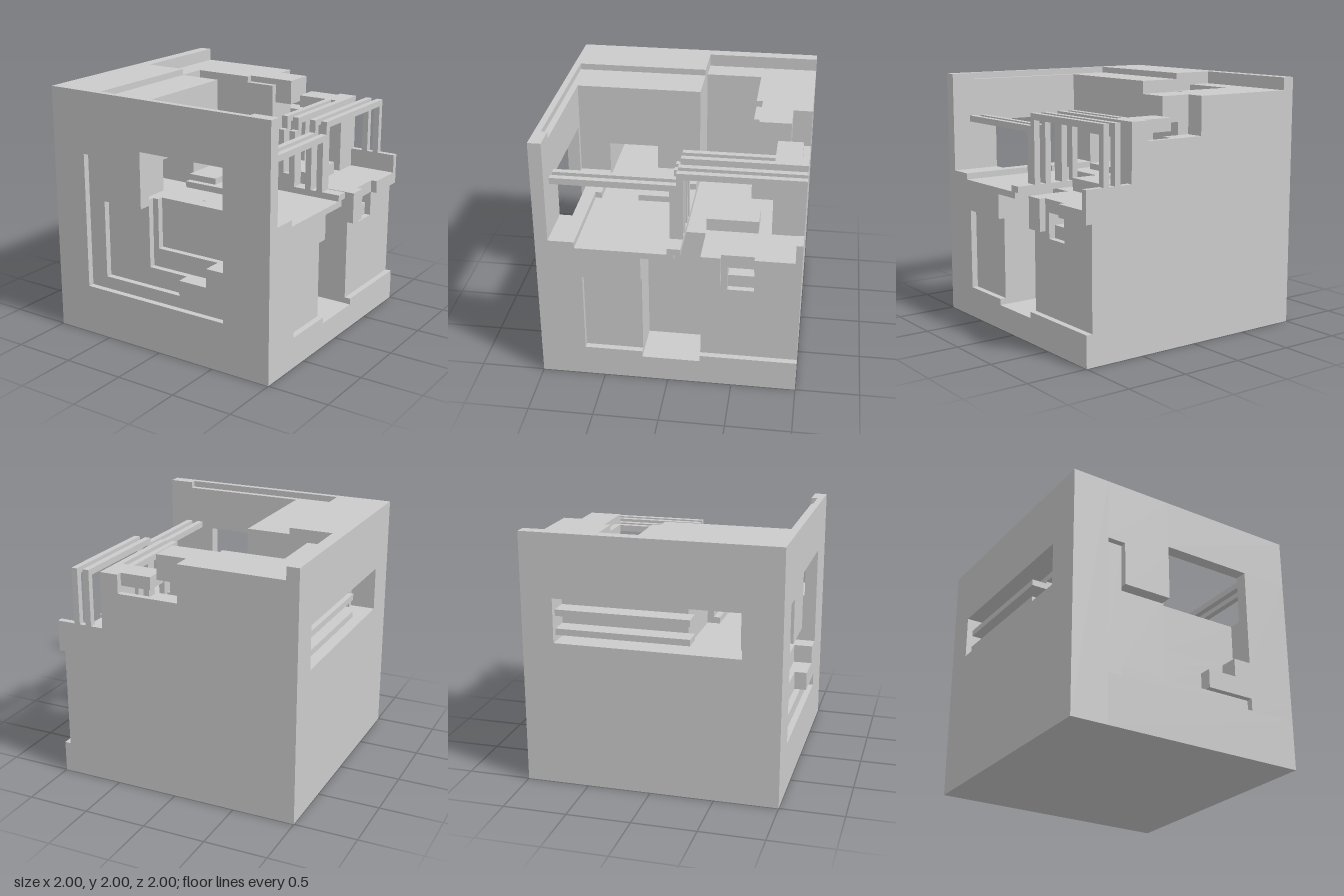
import * as THREE from 'three';

const N = 40; // the carved body lies on a 0.05 grid
const cell = (v) => Math.round((v + 1) * 20);
const material = new THREE.MeshStandardMaterial({ color: 0xcccccc, flatShading: true });

// Solid block which boxes can be cut from or added to; y is stored shifted down by 1
function makeSolid() {
  const data = new Uint8Array(N * N * N).fill(1);
  const at = (x, y, z) => (x < 0 || y < 0 || z < 0 || x >= N || y >= N || z >= N ? 0 : data[(x * N + y) * N + z]);
  const fill = (value) => ([x0, x1], [y0, y1], [z0, z1]) => {
    for (let x = cell(x0); x < cell(x1); x++)
      for (let y = cell(y0 - 1); y < cell(y1 - 1); y++)
        for (let z = cell(z0); z < cell(z1); z++) data[(x * N + y) * N + z] = value;
  };
  return { at, cut: fill(0), add: fill(1) };
}

// Skin of the solid, with exposed cells joined into large rectangles
function skin(at) {
  const pos = [];
  for (let axis = 0; axis < 3; axis++) {
    const u = (axis + 1) % 3, v = (axis + 2) % 3;
    for (const dir of [1, -1]) for (let layer = 0; layer < N; layer++) {
      const open = (i, j) => {
        const c = [0, 0, 0];
        c[axis] = layer; c[u] = i; c[v] = j;
        if (!at(...c)) return false;
        c[axis] += dir;
        return !at(...c);
      };
      const mask = Array.from({ length: N }, (_, i) => Array.from({ length: N }, (_, j) => open(i, j)));
      for (let i = 0; i < N; i++) for (let j = 0; j < N; j++) {
        if (!mask[i][j]) continue;
        let h = 1, w = 1;
        while (j + h < N && mask[i][j + h]) h++;
        while (i + w < N && mask[i + w].slice(j, j + h).every(Boolean)) w++;
        for (let a = 0; a < w; a++) mask[i + a].fill(false, j, j + h);
        const corner = (p, q) => {
          const c = [0, 0, 0];
          c[axis] = layer + (dir > 0 ? 1 : 0); c[u] = p; c[v] = q;
          return [c[0] / 20 - 1, c[1] / 20, c[2] / 20 - 1];
        };
        const q = [corner(i, j), corner(i + w, j), corner(i + w, j + h), corner(i, j + h)];
        if (dir < 0) q.reverse();
        for (const k of [0, 1, 2, 0, 2, 3]) pos.push(...q[k]);
      }
    }
  }
  const g = new THREE.BufferGeometry();
  g.setAttribute('position', new THREE.Float32BufferAttribute(pos, 3));
  g.computeVertexNormals();
  return g;
}

function box(parent, name, [x0, x1], [y0, y1], [z0, z1]) {
  const m = new THREE.Mesh(new THREE.BoxGeometry(x1 - x0, y1 - y0, z1 - z0), material);
  m.position.set((x0 + x1) / 2, (y0 + y1) / 2, (z0 + z1) / 2);
  m.name = name;
  parent.add(m);
}

function carveBody() {
  const { at, cut, add } = makeSolid();
  // roof levels
  cut([-0.9, 1], [1.9, 2], [-1, -0.1]);
  cut([-0.55, 0.8], [1.95, 2], [-0.1, 0.95]);
  cut([0.8, 1], [1.95, 2], [-0.1, 0.9]);
  // front courtyard and its stepped floor
  cut([-0.2, 1], [1.2, 2], [-0.1, 0.9]);
  cut([0.2, 1], [1.15, 1.2], [0, 0.7]);
  cut([-0.2, 0.2], [1.15, 1.2], [0.35, 0.65]);
  add([-0.2, 0.05], [1.2, 1.25], [-0.1, 0.3]);
  // rear courtyard with overhanging roof
  cut([-0.7, 0.05], [1.15, 2], [-0.55, -0.1]);
  cut([0.05, 1], [1.15, 2], [-0.6, -0.1]);
  cut([-0.2, 0.05], [1.85, 2], [-0.6, -0.55]);
  cut([0.05, 0.2], [1.15, 1.7], [-0.85, -0.6]);
  cut([0.2, 1], [1.15, 2], [-0.95, -0.6]);
  // rear parapets
  cut([-0.05, 0.2], [1.6, 2], [-1, -0.85]);
  cut([0.2, 0.45], [1.6, 2], [-1, -0.95]);
  cut([0.45, 0.6], [1.75, 2], [-1, -0.95]);
  cut([0.6, 1], [1.3, 2], [-1, -0.95]);
  add([0.45, 0.6], [1.15, 1.75], [-0.95, -0.75]);
  // front wall relief and window
  cut([-0.7, -0.55], [0.4, 1.5], [0.95, 1]);
  cut([-0.55, 0.6], [0.4, 0.5], [0.95, 1]);
  cut([-0.55, 0.2], [0.5, 1.15], [0.9, 1]);
  cut([-0.15, 0.45], [0.65, 1.2], [0.85, 1]);
  cut([-0.1, 0.6], [0.8, 1.2], [0.8, 1]);
  cut([-0.15, 0.6], [1.2, 1.6], [0.9, 1]);
  // right-hand wall: panel, doorway, rear recess and pocket
  cut([0.95, 1], [0.25, 0.9], [0.2, 0.65]);
  cut([0.65, 1], [0.2, 1.1], [-0.25, 0.2]);
  cut([0.65, 1], [1.1, 1.15], [-0.25, -0.05]);
  cut([0.65, 1], [1.15, 1.2], [-0.25, -0.1]);
  cut([0.95, 1], [0.25, 1.05], [-1, -0.25]);
  cut([0.95, 1], [1.05, 1.2], [-0.65, -0.4]);
  add([0.95, 1], [0.9, 1.05], [-0.4, -0.25]);
  cut([0.9, 1], [0.85, 1.05], [-0.65, -0.45]);
  cut([0.8, 0.9], [0.95, 1.05], [-0.65, -0.45]);
  // long side window and the passage behind it
  cut([-1, -0.8], [1.15, 1.5], [-0.75, 0.7]);
  cut([-1, -0.2], [1.15, 1.45], [0.25, 0.65]);
  const body = new THREE.Mesh(skin(at), material);
  body.name = 'carvedBody';
  return body;
}

export function createModel() {
  const model = new THREE.Group();
  model.name = 'cubeBuilding';
  model.add(carveBody());

  // long stepped pergola frames
  for (const x of [0.7, 0.8]) {
    const frame = new THREE.Group();
    frame.name = 'longPergolaFrame';
    const w = [x, x + 0.05];
    box(frame, 'lowerBeam', w, [1.6, 1.65], [0, 0.9]);
    box(frame, 'middlePost', w, [1.15, 1.65], [-0.1, 0]);
    box(frame, 'riser', w, [1.65, 1.75], [-0.1, -0.05]);
    box(frame, 'upperBeam', w, [1.7, 1.75], [-1, -0.1]);
    box(frame, 'rearPost', w, [1.3, 1.7], [-1, -0.95]);
    model.add(frame);
  }

  // short pergola frames
  for (const x of [0.45, 0.55]) {
    const frame = new THREE.Group();
    frame.name = 'shortPergolaFrame';
    const w = [x, x + 0.05];
    box(frame, 'post', w, [1.2, 1.65], [-0.1, 0]);
    box(frame, 'riser', w, [1.65, 1.75], [-0.1, -0.05]);
    box(frame, 'beam', w, [1.7, 1.75], [-0.75, -0.1]);
    model.add(frame);
  }
  box(model, 'postSill', [0.5, 0.55], [1.2, 1.3], [-0.05, 0]);
  box(model, 'courtyardBench', [0.4, 0.6], [1.15, 1.25], [-0.65, -0.25]);
  box(model, 'rearBeam', [0.2, 0.45], [1.65, 1.75], [-0.95, -0.75]);

  // rails in the side window
  for (const y of [1.2, 1.35]) box(model, 'windowRail', [-0.95, -0.8], [y, y + 0.05], [-0.75, 0.3]);
  return model;
}
